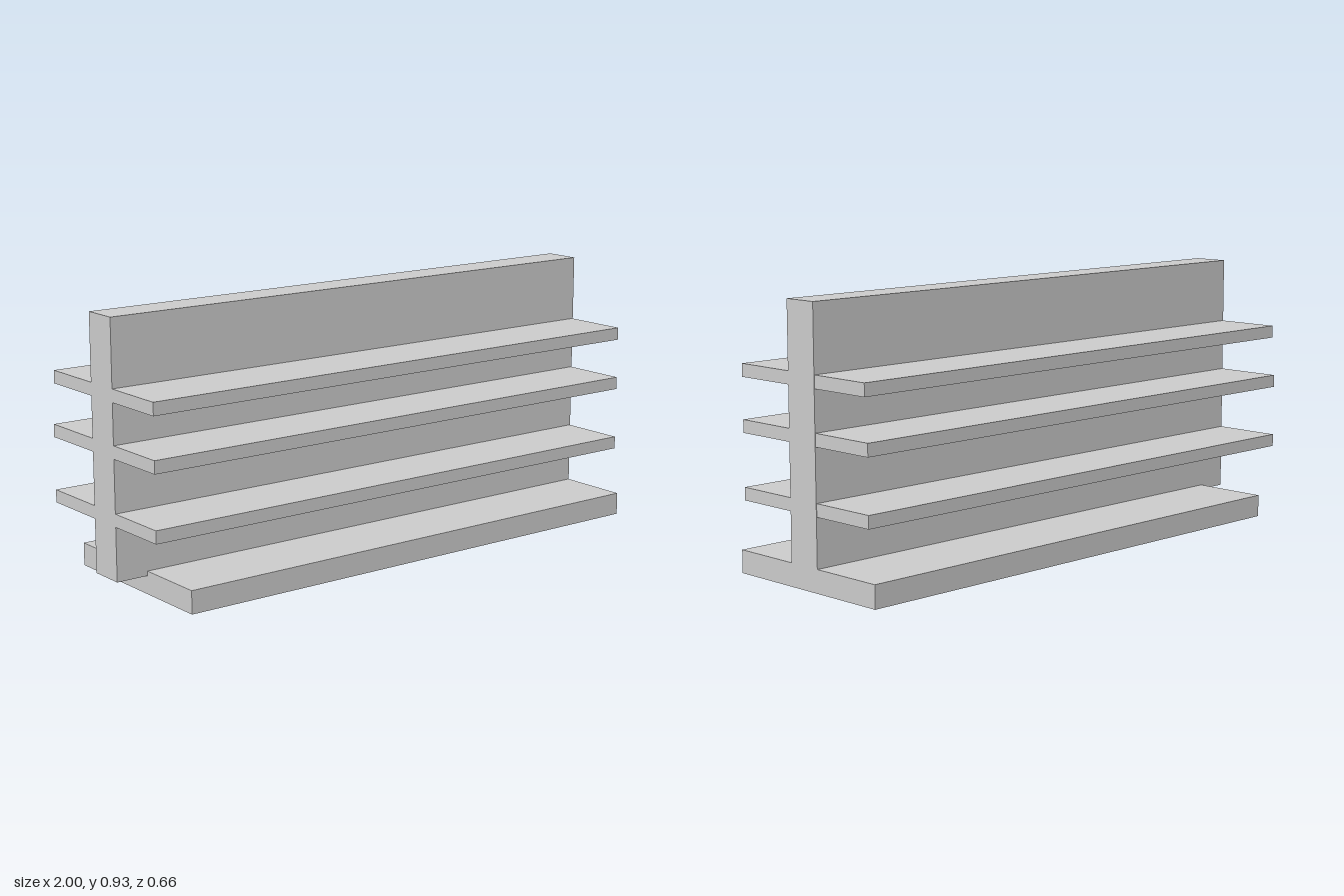
import * as THREE from 'three';

export function createModel() {
  const model = new THREE.Group();
  model.name = 'shelfUnit';
  const material = new THREE.MeshStandardMaterial({ color: 0xcccccc, flatShading: true });

  // Box given by its extents on each axis
  function slab(name, [x0, x1], [y0, y1], [z0, z1]) {
    const mesh = new THREE.Mesh(new THREE.BoxGeometry(x1 - x0, y1 - y0, z1 - z0), material);
    mesh.position.set((x0 + x1) / 2, (y0 + y1) / 2, (z0 + z1) / 2);
    mesh.name = name;
    model.add(mesh);
  }

  const panelBack = -0.055, panelFront = 0.073;

  // Base plate, short of the panel on the right end
  slab('base', [-0.885, 1], [0, 0.079], [-0.33, 0.331]);

  // Upright centre panel, slightly sunk into the base
  slab('centrePanel', [-1, 1], [0.063, 0.928], [panelBack, panelFront]);

  // Three shelves on each side: bottom height and back edge
  const shelves = [
    ['lower', 0.247, -0.303],
    ['middle', 0.471, -0.303],
    ['upper', 0.655, -0.291],
  ];
  for (const [level, y, backEdge] of shelves) {
    const height = [y, y + 0.044];
    slab(level + 'FrontShelf', [-1, 0.998], height, [panelFront, 0.312]);
    slab(level + 'BackShelf', [-1, 0.998], height, [backEdge, panelBack]);
  }

  return model;
}
